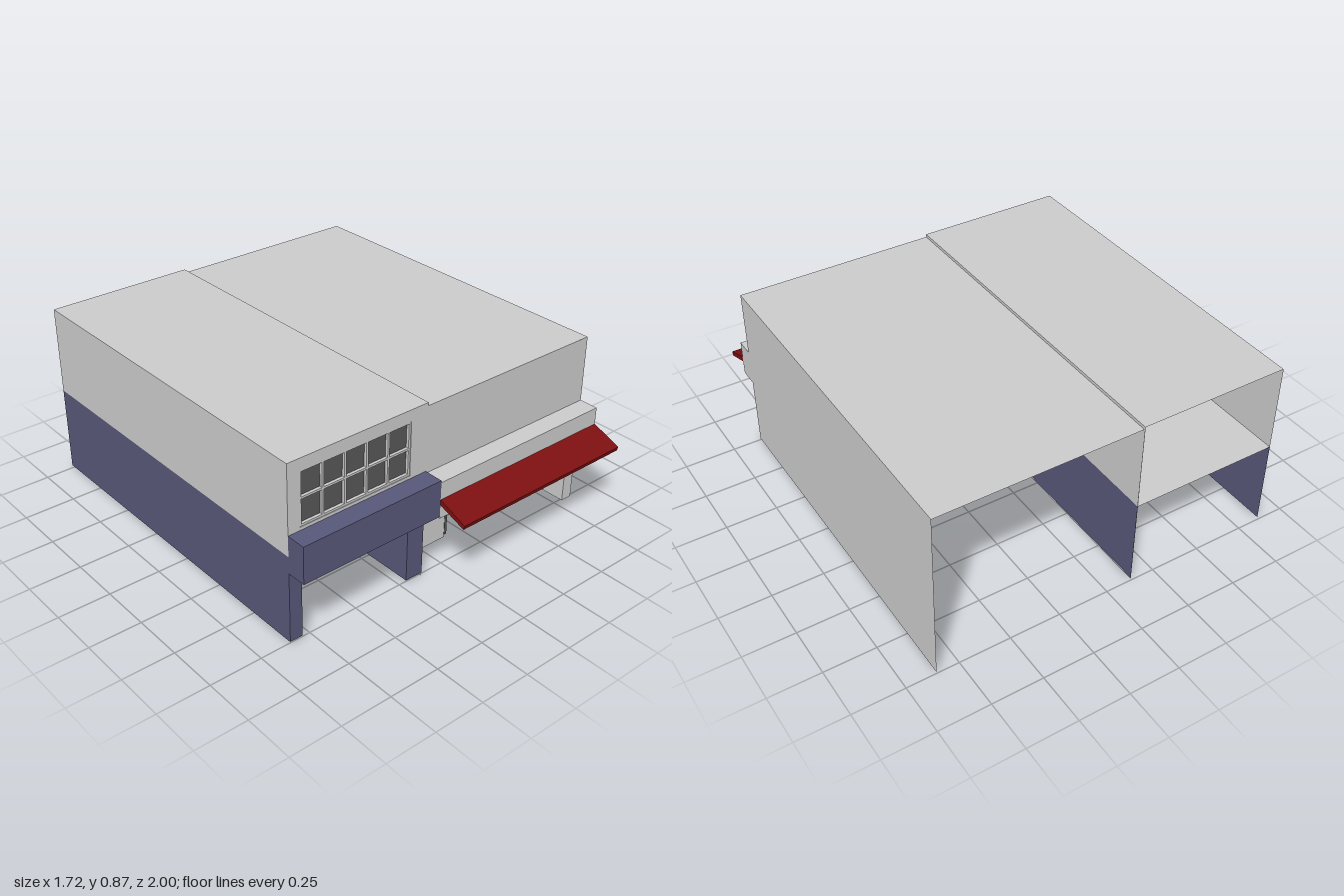
import * as THREE from 'three';

const mat = (color) => new THREE.MeshStandardMaterial({ color, side: THREE.DoubleSide });

export function createModel() {
  const model = new THREE.Group();
  const grey = mat(0xcccccc), blue = mat(0x575779), red = mat(0x7d0f10), dark = mat(0x575757);

  const add = (parent, name, geometry, material) => {
    const mesh = new THREE.Mesh(geometry, material);
    mesh.name = name;
    parent.add(mesh);
    return mesh;
  };

  // Solid block given by its extents
  const block = (parent, name, material, [x0, x1], [y0, y1], [z0, z1]) =>
    add(parent, name, new THREE.BoxGeometry(x1 - x0, y1 - y0, z1 - z0)
      .translate((x0 + x1) / 2, (y0 + y1) / 2, (z0 + z1) / 2), material);

  // Flat sheet given by its extents, facing out along 'face' (x, y or z; sign gives direction)
  const sheet = (parent, name, material, face, xs, ys, zs) => {
    const w = xs[1] - xs[0], h = ys[1] - ys[0], d = zs[1] - zs[0];
    const s = face[0] === '-' ? -1 : 1, axis = face[1];
    let g;
    if (axis === 'x') g = new THREE.PlaneGeometry(d, h).rotateY(s * Math.PI / 2);
    else if (axis === 'y') g = new THREE.PlaneGeometry(w, d).rotateX(-s * Math.PI / 2);
    else g = new THREE.PlaneGeometry(w, h).rotateY(s < 0 ? Math.PI : 0);
    g.translate((xs[0] + xs[1]) / 2, (ys[0] + ys[1]) / 2, (zs[0] + zs[1]) / 2);
    return add(parent, name, g, material);
  };
  const at = (v) => [v, v];

  const front = 0.76, signFront = 0.855;

  // ---- Garage unit with a storey above ----
  const garage = new THREE.Group();
  garage.name = 'garageUnit';
  model.add(garage);
  const gx = [-0.86, -0.128], gz = [-1, front];
  const floorY = 0.44, gTop = 0.87, gBase = 0.015;
  const open = [-0.795, -0.22], doorZ = 0.41, lintelY = 0.36;

  sheet(garage, 'garageRoof', grey, '+y', gx, at(gTop), gz);
  sheet(garage, 'upperFloor', grey, '+y', gx, at(floorY), gz);
  for (const [x, face] of [[gx[0], '-x'], [gx[1], '+x']]) {
    sheet(garage, 'upperSideWall', grey, face, at(x), [floorY, gTop], gz);
    sheet(garage, 'lowerSideWall', blue, face, at(x), [gBase, floorY], gz);
  }

  // Upper front wall with the window opening
  const win = { x: [-0.8, -0.22], y: [0.555, 0.815] };
  const rect = (P, [x0, x1], [y0, y1]) => new P([
    new THREE.Vector2(x0, y0), new THREE.Vector2(x1, y0),
    new THREE.Vector2(x1, y1), new THREE.Vector2(x0, y1)]);
  const wall = rect(THREE.Shape, gx, [floorY, gTop]);
  wall.holes.push(rect(THREE.Path, win.x, win.y));
  add(garage, 'upperFrontWall',
    new THREE.ExtrudeGeometry(wall, { depth: 0.02, bevelEnabled: false }).translate(0, 0, front - 0.02), grey);

  // Window: glass and glazing bars
  sheet(garage, 'windowGlass', dark, '+z', win.x, win.y, at(front - 0.018));
  const bar = 0.01, barZ = [front - 0.017, front - 0.003];
  for (let i = 0; i <= 5; i++) {
    const x = win.x[0] + bar / 2 + (win.x[1] - win.x[0] - bar) * i / 5;
    block(garage, 'windowMullion', grey, [x - bar / 2, x + bar / 2], win.y, barZ);
  }
  for (let i = 0; i <= 2; i++) {
    const y = win.y[0] + bar / 2 + (win.y[1] - win.y[0] - bar) * i / 2;
    block(garage, 'windowTransom', grey, win.x, [y - bar / 2, y + bar / 2], barZ);
  }

  // Fascia, pillars, lintel and the recessed shutter
  block(garage, 'garageFascia', blue, gx, [lintelY, 0.54], [front, signFront]);
  block(garage, 'garagePillar', blue, [gx[0] + 0.001, open[0]], [gBase, floorY - 0.002], [doorZ, front]);
  block(garage, 'garagePillar', blue, [open[1], gx[1] - 0.008], [gBase, floorY - 0.002], [doorZ, front]);
  sheet(garage, 'pillarEdge', blue, '+z', [gx[1] - 0.008, gx[1]], [gBase, floorY], at(front));
  block(garage, 'garageLintel', blue, open, [lintelY, floorY - 0.002], [doorZ, front]);
  sheet(garage, 'garageBackWall', blue, '-z', gx, [gBase, floorY], at(doorZ - 0.004));
  sheet(garage, 'garageShutter', dark, '+z', open, [gBase, lintelY], at(doorZ));

  // ---- Shop unit ----
  const shop = new THREE.Group();
  shop.name = 'shopUnit';
  model.add(shop);
  const sx = [-0.133, 0.855], sz = [-0.995, front], sTop = 0.855;
  const ceil = 0.3, entryZ = 0.615, backZ = 0.04, hall = [0.15, 0.51], pierX = 0.795;

  sheet(shop, 'shopRoof', grey, '+y', sx, at(sTop), sz);
  sheet(shop, 'shopOuterWall', grey, '+x', at(sx[1]), [0, sTop], sz);
  sheet(shop, 'shopPartyWall', grey, '-x', at(sx[0]), [0, sTop], [sz[0], front - 0.001]);
  sheet(shop, 'shopFrontWall', grey, '+z', [gx[1], sx[1]], [ceil, sTop], at(front));
  block(shop, 'shopSignBox', grey, [gx[1], sx[1]], [0.35, 0.53], [front, signFront]);

  // Recessed shopfront with an entrance passage
  sheet(shop, 'entranceCeiling', grey, '-y', [gx[1], sx[1]], at(ceil), [backZ, front]);
  sheet(shop, 'shopfrontPanel', grey, '+z', [sx[0], hall[0]], [0, ceil], at(entryZ));
  sheet(shop, 'shopfrontPanel', grey, '+z', [hall[1], pierX], [0, ceil], at(entryZ));
  sheet(shop, 'passageWall', grey, '+x', at(hall[0]), [0, ceil], [backZ, entryZ]);
  sheet(shop, 'passageWall', grey, '-x', at(hall[1]), [0, ceil], [backZ, entryZ]);
  sheet(shop, 'passageBackWall', grey, '+z', hall, [0, ceil], at(backZ));
  sheet(shop, 'pierFront', grey, '+z', [pierX, sx[1]], [0, ceil], at(front));
  sheet(shop, 'pierSide', grey, '-x', at(pierX), [0, ceil], [entryZ, front]);
  block(shop, 'openDoor', dark, [0.148, 0.162], [0.015, 0.27], [0.27, entryZ + 0.002]);

  // Sloping awning: side profile (z, y) swept across the shop
  const profile = new THREE.Shape([[0.85, 0.42], [0.995, 0.368], [1, 0.388], [0.855, 0.445]]
    .map(([z, y]) => new THREE.Vector2(-z, y)));
  add(shop, 'awning',
    new THREE.ExtrudeGeometry(profile, { depth: sx[1] - gx[1], bevelEnabled: false })
      .rotateY(Math.PI / 2).translate(gx[1], 0, 0), red);

  return model;
}
